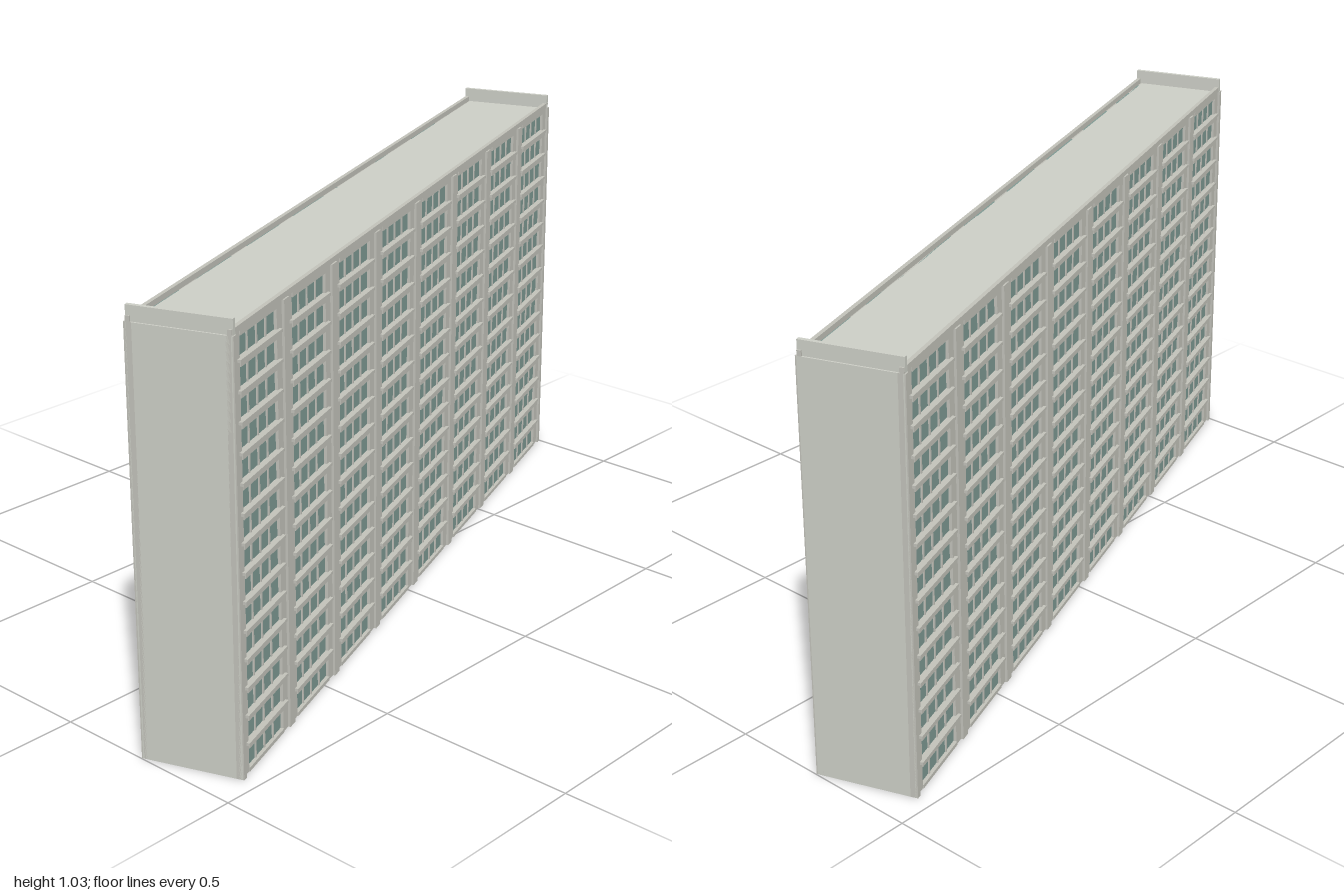
import * as THREE from 'three';
import { mergeGeometries } from 'three/addons/utils/BufferGeometryUtils.js';

const LENGTH = 2.036, HALF = LENGTH / 2, HEIGHT = 1.0;
const BAYS = 8, FLOORS = 15;
const PITCH = LENGTH / BAYS, STOREY = HEIGHT / FLOORS;
const WALL = 0.108;              // distance of the glazed wall plane from the centre line
const PILLAR = 0.076;

const paint = (name, color) => {
  const m = new THREE.MeshStandardMaterial({ color });
  m.name = name;
  return m;
};

// Box given by its minimum and maximum corners
function box(x0, x1, y0, y1, z0, z1) {
  return new THREE.BoxGeometry(x1 - x0, y1 - y0, z1 - z0)
    .translate((x0 + x1) / 2, (y0 + y1) / 2, (z0 + z1) / 2);
}

function part(name, material, boxes) {
  const mesh = new THREE.Mesh(mergeGeometries(boxes), material);
  mesh.name = name;
  return mesh;
}

// One long facade, facing +z
function facade(concrete, trim, glass) {
  const g = new THREE.Group();
  const pillars = [], fins = [], spandrels = [], sills = [], mullions = [], panes = [];

  // Pillars between bays, each with a slim projecting fin
  for (let i = 0; i <= BAYS; i++) {
    const x = -HALF + i * PITCH;
    const x0 = Math.max(x - PILLAR / 2, -HALF), x1 = Math.min(x + PILLAR / 2, HALF);
    pillars.push(box(x0, x1, 0, HEIGHT, WALL - 0.004, 0.116));
    fins.push(box(Math.max(x - 0.013, -HALF), Math.min(x + 0.013, HALF), 0, HEIGHT, 0.114, 0.122));
  }

  for (let b = 0; b < BAYS; b++) {
    const x0 = -HALF + b * PITCH + PILLAR / 2, x1 = x0 + PITCH - PILLAR;
    panes.push(box(x0, x1, 0, HEIGHT, WALL - 0.004, WALL + 0.001));
    // Three mullions make four panes per bay
    for (let m = 1; m < 4; m++) {
      const x = x0 + (x1 - x0) * m / 4;
      mullions.push(box(x - 0.0025, x + 0.0025, 0, HEIGHT, WALL, 0.112));
    }
    // Spandrel and projecting sill at each floor line
    for (let f = 0; f <= FLOORS; f++) {
      const y = f * STOREY;
      const y0 = Math.max(y - 0.011, 0), y1 = Math.min(y + 0.009, HEIGHT);
      spandrels.push(box(x0, x1, y0, y1, WALL - 0.004, 0.118));
      if (f > 0 && f < FLOORS) sills.push(box(x0 - 0.012, x1 + 0.012, y + 0.002, y + 0.009, 0.114, 0.124));
    }
  }

  g.add(
    part('windowGlass', glass, panes),
    part('mullions', trim, mullions),
    part('pillars', trim, pillars),
    part('pillarFins', trim, fins),
    part('spandrels', trim, spandrels),
    part('windowSills', trim, sills),
    part('longParapet', trim, [box(-HALF, HALF, HEIGHT, 1.013, WALL, 0.118)])
  );
  return g;
}

export function createModel() {
  const concrete = paint('pale concrete', 0xcbcdc5);
  const trim = paint('facade concrete', 0xc0c0b8);
  const glass = paint('blue green glass', 0x7c9892);

  const tower = new THREE.Group();
  tower.name = 'slabBuilding';

  // Solid core with flat roof
  tower.add(part('coreAndRoof', concrete, [box(-HALF + 0.01, HALF - 0.01, 0, HEIGHT, -WALL + 0.002, WALL - 0.002)]));

  // Blank end walls, each topped by a taller parapet
  for (const s of [-1, 1]) {
    const end = new THREE.Group();
    end.name = s > 0 ? 'leftEnd' : 'rightEnd';
    end.add(
      part('endWall', concrete, [box(-0.012, 0, 0, HEIGHT, -0.119, 0.119)]),
      part('endParapet', concrete, [box(-0.014, -0.004, HEIGHT, 1.035, -0.119, 0.119)])
    );
    end.position.x = s * HALF;
    if (s < 0) end.rotation.y = Math.PI;
    tower.add(end);
  }

  // Matching front and back facades
  const front = facade(concrete, trim, glass);
  front.name = 'frontFacade';
  const back = facade(concrete, trim, glass);
  back.name = 'backFacade';
  back.rotation.y = Math.PI;
  tower.add(front, back);

  // The block stands at an angle to the axes
  tower.rotation.y = THREE.MathUtils.degToRad(20);

  const model = new THREE.Group();
  model.name = 'apartmentBlock';
  model.add(tower);
  return model;
}
